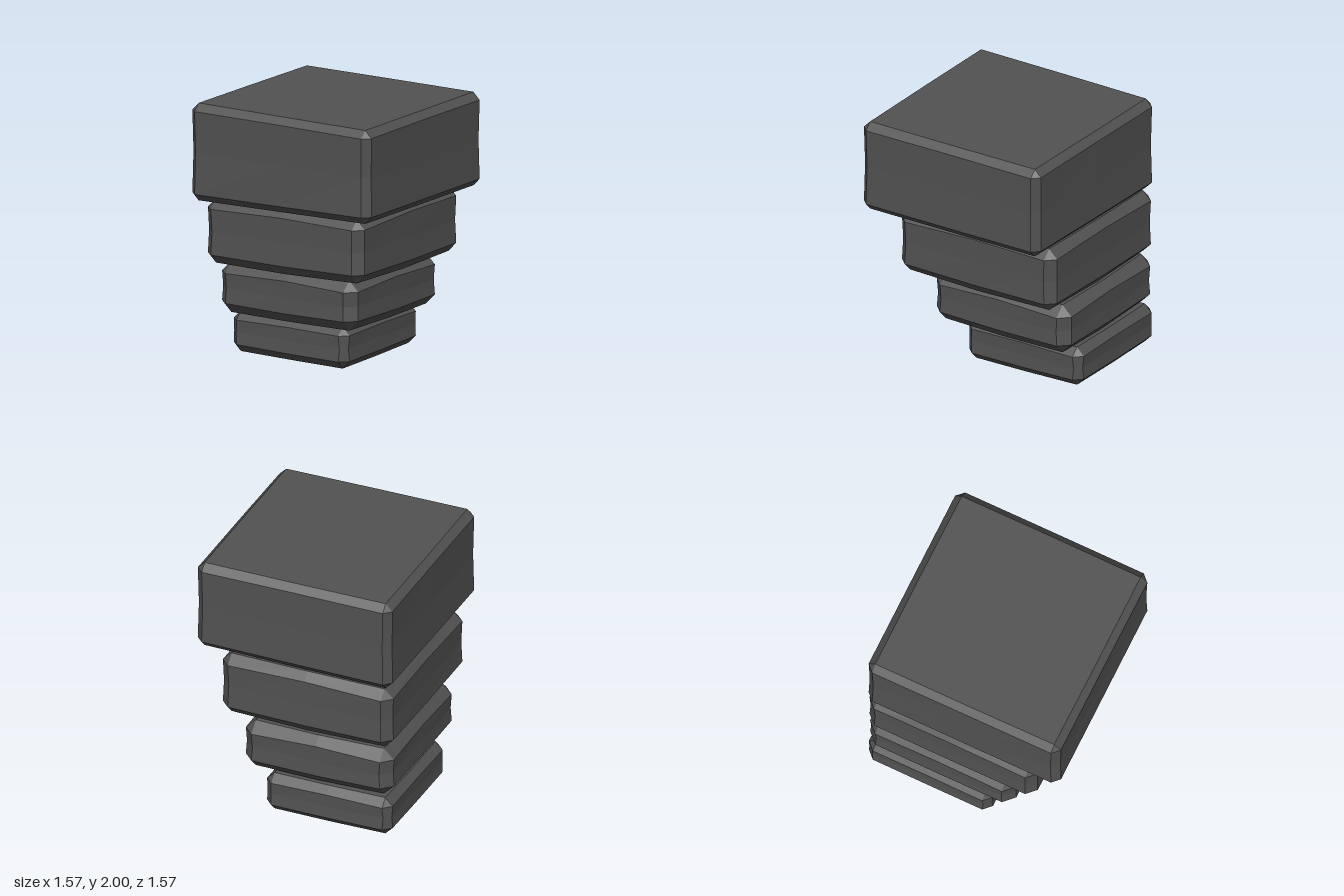
import * as THREE from 'three';

// Corner order, counter-clockwise from above: front left, back left, back right, front right
const CORNERS = [[1, 1], [1, -1], [-1, -1], [-1, 1]];
const BACK = -0.78; // all slabs share this back and right plane

// One ring of 12 points: two per corner and one in the middle of each side.
// c: corner chamfer, inset: how far the whole outline is pulled in, heights: y per corner
function ring(slab, c, inset, midInset, heights, bow) {
  const cx = (slab.size + BACK) / 2, h = (slab.size - BACK) / 2;
  const pts = [];
  CORNERS.forEach(([sx, sz], k) => {
    const e = h - inset;
    const onX = [cx + sx * e, heights[k], cx + sz * (e - c)];
    const onZ = [cx + sx * (e - c), heights[k], cx + sz * e];
    pts.push(...(sx * sz > 0 ? [onZ, onX] : [onX, onZ]));
    const [nx, nz] = CORNERS[(k + 1) % 4];
    const m = h - midInset;
    pts.push([cx + (sx + nx) / 2 * m, (heights[k] + heights[(k + 1) % 4]) / 2 + bow, cx + (sz + nz) / 2 * m]);
  });
  return pts;
}

// Chamfered, slightly uneven stone slab from five rings and two caps
function slabGeometry(slab) {
  const { c, k, bow, top, bottom } = slab;
  const shift = (a, d) => a.map(y => y + d);
  const middle = top.map((y, i) => (y + bottom[i]) / 2);
  const rings = [
    ring(slab, 0, c, c * k, bottom, -bow),
    ring(slab, c, 0, 0, shift(bottom, c), c * (1 - k) * -0.5),
    ring(slab, c * slab.waist, 0.006, 0.004, middle, 0),
    ring(slab, c, 0, 0, shift(top, -c), c * (1 - k)),
    ring(slab, 0, c, c * k, top, bow),
  ];
  const n = 12, pos = [];
  const tri = (...p) => {
    const [a, b, d] = p.map(q => new THREE.Vector3(...q));
    if (b.sub(a).cross(d.sub(a)).length() > 1e-8) pos.push(...p.flat());
  };
  for (let i = 0; i < rings.length - 1; i++) {
    for (let j = 0; j < n; j++) {
      const l = (j + 1) % n, lo = rings[i], hi = rings[i + 1];
      tri(lo[j], lo[l], hi[l]);
      tri(lo[j], hi[l], hi[j]);
    }
  }
  // caps fan out from their centres
  const mean = a => a.reduce((s, y) => s + y, 0) / 4;
  const mid = (slab.size + BACK) / 2;
  for (let j = 0; j < n; j++) {
    const l = (j + 1) % n;
    tri([mid, mean(top), mid], rings[4][j], rings[4][l]);
    tri([mid, mean(bottom), mid], rings[0][l], rings[0][j]);
  }
  const g = new THREE.BufferGeometry();
  g.setAttribute('position', new THREE.Float32BufferAttribute(pos, 3));
  g.computeVertexNormals();
  // x runs the same way as z: flush on the -x and -z sides
  return g;
}

export function createModel() {
  const stone = new THREE.MeshStandardMaterial({ color: 0x525252, flatShading: true });
  stone.name = 'dark stone';

  // size: the +x and +z extent; k: chamfer ratio at mid side; waist: corner chamfer ratio at mid height
  const slabs = [
    { name: 'bottomSlab', size: 0.23, c: 0.06, k: 0.9, waist: 0.8, bow: 0,
      top: [0.315, 0.32, 0.325, 0.32], bottom: [0.0, 0.015, 0.02, 0.015] },
    { name: 'lowerSlab', size: 0.41, c: 0.08, k: 0.8, waist: 1, bow: 0,
      top: [0.72, 0.72, 0.73, 0.73], bottom: [0.34, 0.335, 0.345, 0.345] },
    { name: 'upperSlab', size: 0.59, c: 0.07, k: 0.8, waist: 1, bow: 0.006,
      top: [1.24, 1.25, 1.245, 1.24], bottom: [0.76, 0.755, 0.755, 0.755] },
    { name: 'topSlab', size: 0.785, c: 0.055, k: 0.95, waist: 1, bow: 0,
      top: [1.985, 1.98, 1.985, 2.0], bottom: [1.28, 1.275, 1.265, 1.265] },
  ];

  const model = new THREE.Group();
  model.name = 'steppedCorbel';
  for (const slab of slabs) {
    const mesh = new THREE.Mesh(slabGeometry(slab), stone);
    mesh.name = slab.name;
    model.add(mesh);
  }
  return model;
}
